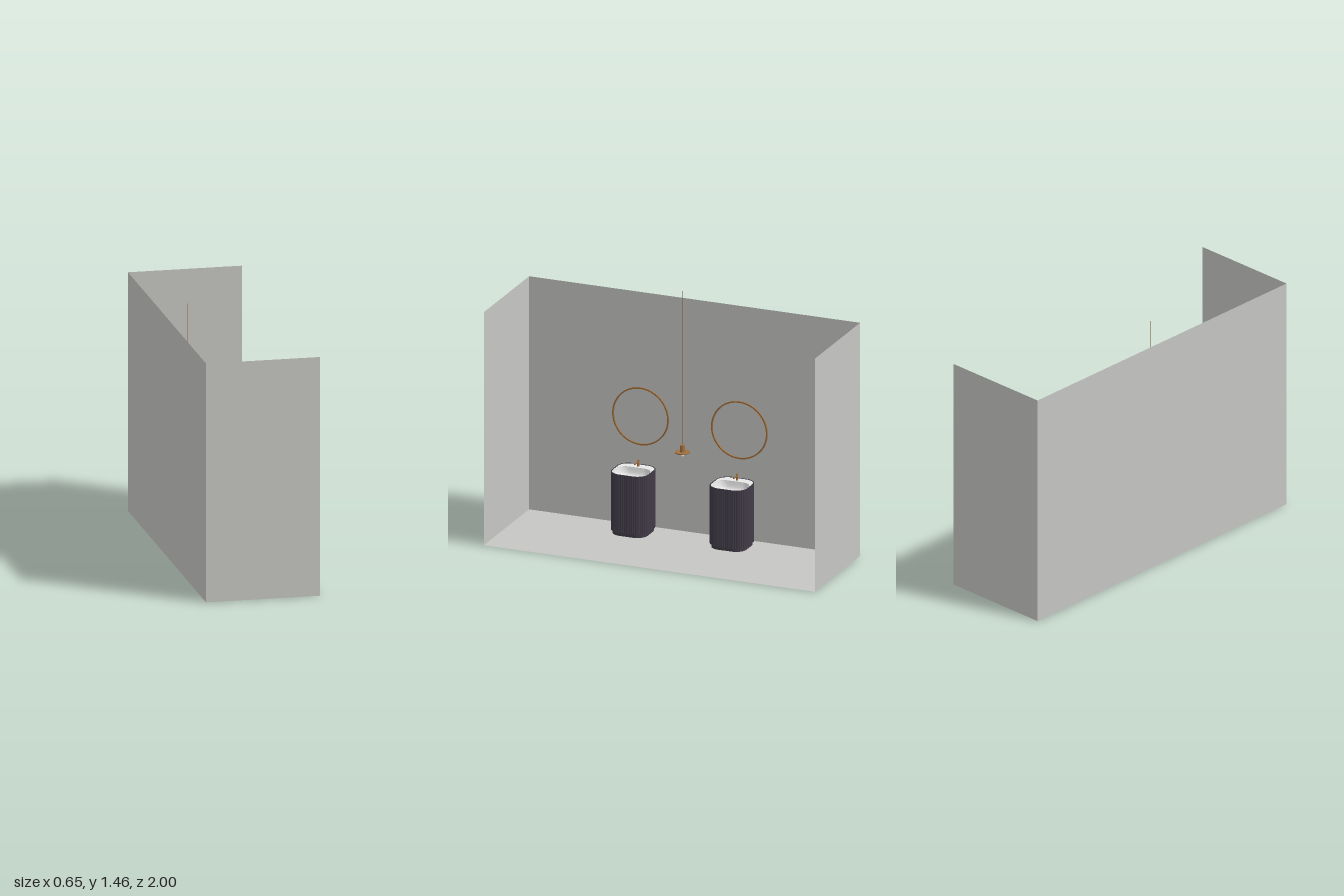
import * as THREE from 'three';

const material = (name, color, side = THREE.FrontSide) => {
  const m = new THREE.MeshStandardMaterial({ color, side });
  m.name = name;
  return m;
};

function add(parent, name, geometry, mat, x = 0, y = 0, z = 0) {
  const mesh = new THREE.Mesh(geometry, mat);
  mesh.name = name;
  mesh.position.set(x, y, z);
  parent.add(mesh);
  return mesh;
}

// Rounded rectangle from half sizes, counter-clockwise
function roundedRect(hx, hy, r, cx = 0) {
  const s = new THREE.Shape();
  const q = Math.PI / 2;
  [[1, 1], [-1, 1], [-1, -1], [1, -1]].forEach(([sx, sy], i) =>
    s.absarc(cx + sx * (hx - r), sy * (hy - r), r, i * q, (i + 1) * q, false));
  s.closePath();
  return s;
}

// Rounded rectangle with convex vertical ribs around its edge
function flutedRect(hx, hy, r, ribs, depth) {
  const steps = 6, n = ribs * steps;
  const pts = roundedRect(hx, hy, r).getSpacedPoints(n).slice(0, n);
  return new THREE.Shape(pts.map((p, i) => {
    const t = pts[(i + 1) % n].clone().sub(pts[(i + n - 1) % n]).normalize();
    const d = depth * Math.abs(Math.sin(Math.PI * i / steps));
    return new THREE.Vector2(p.x + t.y * d, p.y - t.x * d);
  }));
}

// Extrude upwards from y = 0
function extrudeUp(shape, height) {
  const g = new THREE.ExtrudeGeometry(shape, { depth: height, bevelEnabled: false, curveSegments: 12 });
  return g.rotateX(-Math.PI / 2);
}

// Bowl lofted through shrinking rounded rectangles
function bowlGeometry(hx, hz, r, cx, rings) {
  const n = 64, positions = [], index = [];
  rings.forEach(([inset, y]) => {
    const shape = roundedRect(hx - inset, hz - inset, Math.max(r - inset * 0.6, 0.01), cx);
    shape.getSpacedPoints(n).slice(0, n).forEach(p => positions.push(p.x, y, -p.y));
  });
  for (let j = 0; j < rings.length - 1; j++)
    for (let i = 0; i < n; i++) {
      const a = j * n + i, b = j * n + (i + 1) % n;
      index.push(a, b, a + n, b, b + n, a + n);
    }
  const last = (rings.length - 1) * n, centre = rings.length * n;
  positions.push(cx, rings[rings.length - 1][1] - 0.001, 0);
  for (let i = 0; i < n; i++) index.push(last + i, last + (i + 1) % n, centre);
  const g = new THREE.BufferGeometry();
  g.setAttribute('position', new THREE.Float32BufferAttribute(positions, 3));
  g.setIndex(index);
  g.computeVertexNormals();
  return g;
}

export function createModel() {
  const wall = material('wall grey', 0xc6c6c3, THREE.DoubleSide);
  const dark = material('dark aubergine', 0x413b47);
  const white = material('ceramic white', 0xeeeeee, THREE.DoubleSide);
  const brass = material('brass', 0xa07040);
  const chrome = material('drain grey', 0xbdbdbd);

  const model = new THREE.Group();
  model.name = 'washroom';
  const W = 0.65, H = 1.377, D = 2;

  // Room shell, open at +x and on top
  const room = new THREE.Group();
  room.name = 'room';
  model.add(room);
  add(room, 'floor', new THREE.PlaneGeometry(W, D).rotateX(-Math.PI / 2), wall);
  add(room, 'longWall', new THREE.PlaneGeometry(D, H).rotateY(Math.PI / 2), wall, -W / 2, H / 2, 0);
  for (const s of [1, -1])
    add(room, 'endWall', new THREE.PlaneGeometry(W, H), wall, 0, H / 2, s * D / 2);

  // Shared vanity geometries
  const shell = flutedRect(0.105, 0.11, 0.068, 56, 0.003);
  shell.holes.push(roundedRect(0.102, 0.107, 0.065));
  const shellGeo = extrudeUp(shell, 0.343);
  const plinthGeo = extrudeUp(roundedRect(0.1, 0.104, 0.063), 0.025);
  const deck = roundedRect(0.102, 0.107, 0.065);
  deck.holes.push(roundedRect(0.0745, 0.103, 0.058, 0.026));
  const deckGeo = extrudeUp(deck, 0.004);
  const bowlGeo = bowlGeometry(0.0745, 0.103, 0.058, 0.026,
    [[0, 0.36], [0.003, 0.345], [0.007, 0.328], [0.014, 0.318], [0.026, 0.312], [0.045, 0.309]]);

  // Round mirror frame, facing +x
  const frame = new THREE.Shape().absarc(0, 0, 0.17, 0, Math.PI * 2, false);
  frame.holes.push(new THREE.Path().absarc(0, 0, 0.162, 0, Math.PI * 2, true));
  const frameGeo = new THREE.ExtrudeGeometry(frame, { depth: 0.01, bevelEnabled: false, curveSegments: 64 });
  frameGeo.rotateY(Math.PI / 2);

  for (const z of [0.324, -0.273]) {
    const vanity = new THREE.Group();
    vanity.name = 'vanity';
    vanity.position.set(-0.212, 0, z);
    model.add(vanity);
    add(vanity, 'plinth', plinthGeo, dark);
    add(vanity, 'flutedBody', shellGeo, dark, 0, 0.02);
    add(vanity, 'deck', deckGeo, white, 0, 0.357);
    add(vanity, 'basin', bowlGeo, white);
    add(vanity, 'drain', new THREE.CylinderGeometry(0.009, 0.009, 0.004, 24), chrome, 0.016, 0.31);

    // Tap: column, spout and lever
    const tap = new THREE.Group();
    tap.name = 'tap';
    tap.position.set(-0.073, 0.361, 0);
    vanity.add(tap);
    add(tap, 'column', new THREE.CylinderGeometry(0.0065, 0.0065, 0.036, 20), brass, 0, 0.018);
    add(tap, 'spout', new THREE.CylinderGeometry(0.004, 0.004, 0.05, 16).rotateZ(Math.PI / 2), brass, 0.025, 0.026);
    add(tap, 'lever', new THREE.CylinderGeometry(0.0015, 0.0015, 0.014, 8), brass, 0, 0.034);

    add(model, 'mirrorFrame', frameGeo, brass, -0.324, 0.645, z);
  }

  // Pendant lamp on a long thin cord
  const pendant = new THREE.Group();
  pendant.name = 'pendantLamp';
  pendant.position.set(-0.213, 0, 0.027);
  model.add(pendant);
  add(pendant, 'shadeDisc', new THREE.CylinderGeometry(0.042, 0.042, 0.006, 48), brass, 0, 0.508);
  add(pendant, 'socket', new THREE.CylinderGeometry(0.014, 0.014, 0.039, 32), brass, 0, 0.5295);
  add(pendant, 'cordGrip', new THREE.CylinderGeometry(0.002, 0.004, 0.008, 16), brass, 0, 0.553);
  add(pendant, 'cord', new THREE.CylinderGeometry(0.001, 0.001, 0.91, 8), brass, 0, 1.005);
  add(pendant, 'bulb', new THREE.CapsuleGeometry(0.009, 0.014, 8, 24), white, 0, 0.496);

  return model;
}
